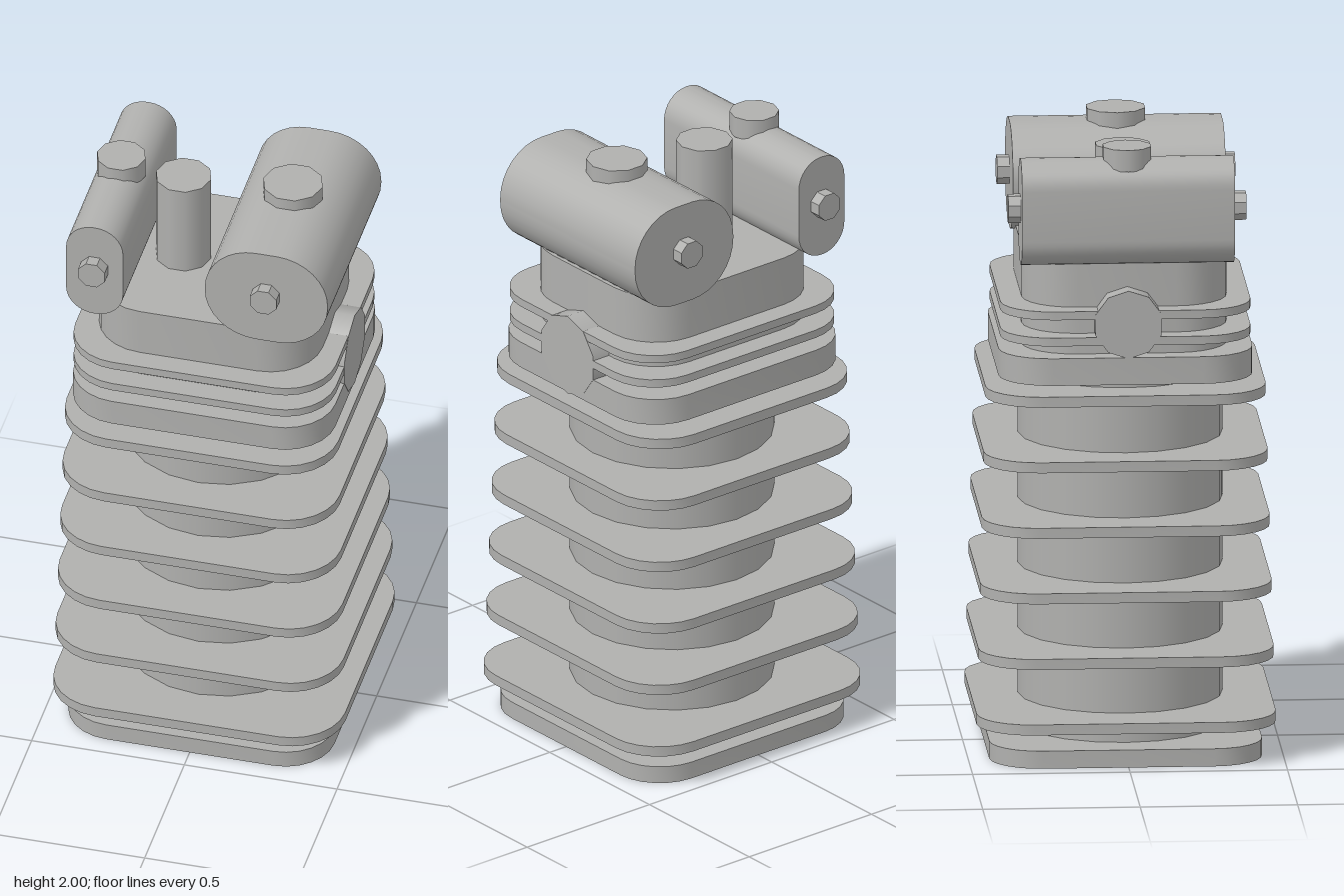
import * as THREE from 'three';
import { toCreasedNormals } from 'three/addons/utils/BufferGeometryUtils.js';

const metal = new THREE.MeshStandardMaterial({ color: 0xb0b0ae });
metal.name = 'grey metal';

// Rounded rectangle centred on the origin
function roundedRect(hw, hh, r) {
  const s = new THREE.Shape();
  s.moveTo(hw, -hh + r);
  s.lineTo(hw, hh - r);
  s.absarc(hw - r, hh - r, r, 0, Math.PI / 2);
  s.lineTo(-hw + r, hh);
  s.absarc(-hw + r, hh - r, r, Math.PI / 2, Math.PI);
  s.lineTo(-hw, -hh + r);
  s.absarc(-hw + r, -hh + r, r, Math.PI, Math.PI * 1.5);
  s.lineTo(hw - r, -hh);
  s.absarc(hw - r, -hh + r, r, Math.PI * 1.5, Math.PI * 2);
  return s;
}

function extrude(shape, depth, curveSegments) {
  const g = new THREE.ExtrudeGeometry(shape, { depth, curveSegments, bevelEnabled: false });
  return toCreasedNormals(g, 0.7);
}

export function createModel() {
  const model = new THREE.Group();
  model.name = 'engineCylinder';

  const add = (name, geometry, x = 0, y = 0, z = 0) => {
    const mesh = new THREE.Mesh(geometry, metal);
    mesh.name = name;
    mesh.position.set(x, y, z);
    model.add(mesh);
    return mesh;
  };

  // Horizontal slab with rounded corners, between two heights
  const slab = (name, hx, hz, r, y0, y1) =>
    add(name, extrude(roundedRect(hx, hz, r), y1 - y0, 3).rotateX(-Math.PI / 2), 0, y0, 0);

  // Upright round part with a corner on the x axis
  const post = (name, r, x, y0, y1, sides = 10) =>
    add(name, new THREE.CylinderGeometry(r, r, y1 - y0, sides, 1, false, Math.PI / 2), x, (y0 + y1) / 2, 0);

  // Barrel with cooling fins that shrink upwards
  slab('baseFlange', 0.433, 0.433, 0.16, 0, 0.057);
  post('barrel', 0.325, 0, 0.03, 1.23, 20);
  for (let i = 0; i < 6; i++) {
    const y = 0.118 + i * 0.2115, h = 0.475 - i * 0.006;
    slab('barrelFin', h, h, 0.175, y, y + 0.034);
  }

  // Cylinder head
  slab('headFlange', 0.427, 0.403, 0.165, 1.242, 1.33);
  slab('headCore', 0.363, 0.325, 0.17, 1.3, 1.645);
  slab('headFin', 0.427, 0.397, 0.165, 1.37, 1.397);
  slab('headFin', 0.427, 0.397, 0.165, 1.455, 1.482);

  // Side ports, lying along x
  const port = (name, r, x0, x1, y) => {
    const g = new THREE.CylinderGeometry(r, r, x1 - x0, 10, 1, false, Math.PI / 2);
    g.rotateZ(Math.PI / 2);
    add(name, g, (x0 + x1) / 2, y, 0);
  };
  port('leftPort', 0.135, 0.29, 0.428, 1.372);
  port('rightPort', 0.11, -0.43, -0.29, 1.437);

  // Rocker boxes along z, each with end bolts and a filler cap
  const rockerBox = (side, x, hw, r, capRadius) => {
    add(side + 'RockerBox', extrude(roundedRect(hw, 0.171, r), 0.676, 4), x, 1.79, -0.338);
    for (const s of [-1, 1]) {
      const bolt = new THREE.CylinderGeometry(0.047, 0.047, 0.06, 8, 1, false, Math.PI / 8);
      bolt.rotateX(Math.PI / 2);
      add(side + 'RockerBolt', toCreasedNormals(bolt, 0.5), x, 1.8, s * 0.348);
    }
    post(side + 'FillerCap', capRadius, x, 1.93, 2);
  };
  rockerBox('left', 0.226, 0.201, 0.166, 0.097);
  rockerBox('right', -0.336, 0.093, 0.09, 0.079);

  // Central post
  post('centrePost', 0.09, -0.132, 1.62, 1.96);

  return model;
}
